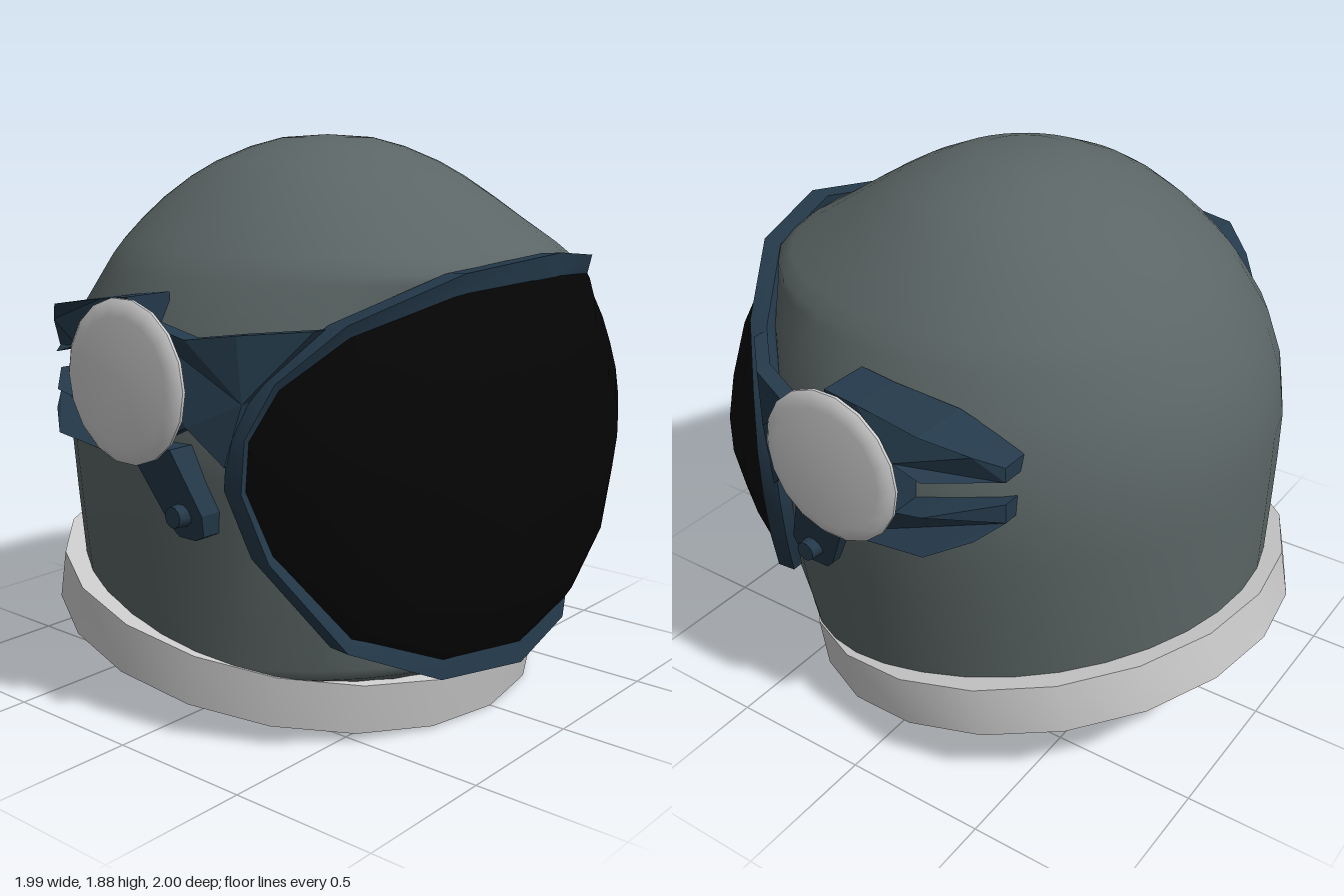
import * as THREE from 'three';
import { mergeVertices, toCreasedNormals } from 'three/addons/utils/BufferGeometryUtils.js';

const mat = (color, side = THREE.FrontSide) => new THREE.MeshStandardMaterial({ color, side });
const { lerp, clamp } = THREE.MathUtils;

// Linear lookup in rows of [key, value...], keys ascending
function lookup(table, k, col = 1) {
  let i = 1;
  while (i < table.length - 1 && table[i][0] < k) i++;
  const a = table[i - 1], b = table[i];
  return lerp(a[col], b[col], clamp((k - a[0]) / (b[0] - a[0]), 0, 1));
}

// Smooth surface through rows of [x, y, z] points
function grid(rows) {
  const n = rows[0].length, index = [];
  for (let i = 0; i < rows.length - 1; i++) {
    for (let j = 0; j < n - 1; j++) {
      const a = i * n + j, b = a + 1, c = b + n, d = a + n;
      index.push(a, b, c, a, c, d);
    }
  }
  const g = new THREE.BufferGeometry();
  g.setAttribute('position', new THREE.Float32BufferAttribute(rows.flat(2), 3));
  g.setIndex(index);
  const merged = mergeVertices(g);
  merged.computeVertexNormals();
  return merged;
}

// Flat-sided plate: outline of [z, y], with inner and outer x given by span(z, y)
function plate(outline, span) {
  const shape = new THREE.Shape(outline.map(([z, y]) => new THREE.Vector2(-z, y)));
  const g = new THREE.ExtrudeGeometry(shape, { depth: 1, bevelEnabled: false, steps: 1 });
  g.rotateY(Math.PI / 2);
  const p = g.attributes.position;
  for (let i = 0; i < p.count; i++) {
    const [inner, outer] = span(p.getZ(i), p.getY(i));
    p.setX(i, lerp(inner, outer, p.getX(i)));
  }
  g.computeVertexNormals();
  return g;
}

// Visor edge, left half, top to bottom
const CY = 0.9;
const EDGE = [
  [0, 1.47, 0.92], [0.35, 1.44, 0.82], [0.64, 1.32, 0.62], [0.79, 1.17, 0.48], [0.855, 1.02, 0.42],
  [0.86, 0.87, 0.41], [0.8, 0.67, 0.46], [0.63, 0.4, 0.62], [0.35, 0.28, 0.76], [0, 0.25, 0.82],
];
const toShell = ([x, y, z]) => [x * 0.955, CY + (y - CY) * 1.03, z - 0.05];
const fullLoop = half => [...half, ...half.slice(0, -1).reverse().map(([x, y, z]) => [-x, y, z])];

// Shell half-width and back depth by height
const PROFILE = [
  [0.05, 0.8, 0.89], [0.3, 0.82, 0.9], [0.55, 0.85, 0.905], [0.8, 0.88, 0.91],
  [1, 0.89, 0.915], [1.15, 0.88, 0.9], [1.33, 0.83, 0.835], [1.5, 0.73, 0.725],
];
// Dome above the opening: height, half-width, back depth, front depth
const DOME = [
  [1.53, 0.705, 0.7, 0.81], [1.6, 0.64, 0.635, 0.69], [1.67, 0.565, 0.56, 0.58], [1.74, 0.48, 0.46, 0.465],
  [1.79, 0.395, 0.375, 0.375], [1.84, 0.27, 0.26, 0.26], [1.87, 0.16, 0.15, 0.15], [1.88, 0, 0, 0],
];

function shellGeometry() {
  const N = 36;
  // Columns in front of the opening's edge collapse onto it
  const arc = (y, sx, zb, zf, start) => Array.from({ length: N + 1 }, (_, j) => {
    const t = clamp(2 * Math.PI * j / N, start, 2 * Math.PI - start), c = Math.cos(t);
    const z = c * (c > 0 ? zf : zb);
    return [sx * Math.sin(t), Math.max(y, 0.27 - 0.2 * z), z]; // lower edge follows the tilted collar
  });
  const rows = [arc(0.05, 0.79, 0.89, 0.64, 0)];
  for (const [x, y, z] of EDGE.map(toShell).reverse()) {
    const sx = lookup(PROFILE, y, 1), zb = lookup(PROFILE, y, 2);
    const start = Math.asin(x / sx);
    rows.push(arc(y, sx, zb, z / Math.cos(start), start));
  }
  for (const [y, sx, zb, zf] of DOME) rows.push(arc(y, sx, zb, zf, 0));
  return grid(rows);
}

// Bulging visor: flatter vertically, rounder towards the sides
function visorGeometry() {
  const loop = fullLoop(EDGE), rings = 6, rows = [];
  for (let i = 0; i <= rings; i++) {
    const s = Math.sin(i / rings * Math.PI / 2);
    rows.push(loop.map(([x, y, z]) => {
      const power = lerp(1, 0.53, Math.abs(x) / 0.86);
      return [x * s, lerp(CY, y, s), lerp(z, 1, Math.max(0, 1 - s * s) ** power)];
    }));
  }
  return grid(rows);
}

function frameGeometry() {
  const offset = (k, dz) => EDGE.map(([x, y, z]) => {
    const l = Math.hypot(x, y - CY);
    return [x + 0.025 * k * x / l, y + 0.065 * k * (y - CY) / l, z + dz];
  });
  const sections = [offset(-0.1, 0.005), offset(1, 0.012), offset(0.9, -0.06), EDGE.map(toShell), offset(-0.1, 0.005)];
  return toCreasedNormals(grid(sections.map(fullLoop)), 0.7);
}

export function createModel() {
  const model = new THREE.Group();
  const grey = mat(0xcccccc), blue = mat(0x24394a);
  const add = (parent, name, geometry, material) => {
    const m = new THREE.Mesh(geometry, material);
    m.name = name;
    parent.add(m);
    return m;
  };

  add(model, 'shell', shellGeometry(), mat(0x5b6565, THREE.DoubleSide));
  add(model, 'visor', visorGeometry(), mat(0x050505, THREE.DoubleSide));
  add(model, 'visorFrame', frameGeometry(), mat(0x24394a, THREE.DoubleSide));

  // Tilted neck ring
  const ring = [[0.61, -0.087], [0.875, -0.087], [0.875, 0.087], [0.61, 0.087], [0.61, -0.087]];
  const collar = add(model, 'collar', toCreasedNormals(
    new THREE.LatheGeometry(ring.map(p => new THREE.Vector2(...p)), 20), 0.7), grey);
  collar.position.set(0, 0.2525, -0.125);
  collar.rotation.x = 0.193;

  // Side fittings, mirrored
  const mountIn = [[-0.49, 0.7], [-0.2, 0.79], [0.04, 0.79]];
  const mountOut = [[-0.49, 0.79], [-0.42, 0.87], [-0.3, 0.96], [0.04, 0.96]];
  const armOut = [[0.04, 0.955], [0.25, 0.935], [0.4, 0.875], [0.56, 0.72]];
  const mount = plate([
    [0.04, 1.42], [-0.08, 1.405], [-0.3, 1.37], [-0.42, 1.3], [-0.485, 1.25], [-0.485, 1.2], [-0.3, 1.22],
    [-0.2, 1.25], [-0.2, 1.08], [-0.3, 1.1], [-0.485, 1.125], [-0.485, 1.06], [-0.42, 1.01], [-0.3, 0.96],
    [-0.05, 0.93], [0.04, 0.92],
  ], z => [lookup(mountIn, z), lookup(mountOut, z)]);
  const arm = plate([
    [0.56, 1.34], [0.4, 1.33], [0.25, 1.31], [0.04, 1.36], [0.04, 0.95], [0.25, 1.05], [0.36, 0.94], [0.41, 1.13],
  ], z => [lookup(armOut, z) - 0.06, lookup(armOut, z)]);
  const leg = plate([
    [0.2, 0.98], [0.28, 0.78], [0.27, 0.71], [0.23, 0.69], [0.16, 0.69], [0.13, 0.72], [0, 0.98],
  ], (z, y) => [lerp(0.8, 0.86, (y - 0.69) / 0.29), lerp(0.885, 0.955, (y - 0.69) / 0.29)]);
  const cap = [[0, 0], [0.24, 0], [0.253, 0.008], [0.253, 0.018], [0.235, 0.032], [0.2, 0.037], [0, 0.038]];
  const disc = toCreasedNormals(new THREE.LatheGeometry(cap.map(p => new THREE.Vector2(...p)), 18), 0.9);

  for (const s of [1, -1]) {
    const side = new THREE.Group();
    side.name = s > 0 ? 'leftFitting' : 'rightFitting';
    side.scale.x = s;
    add(side, 'prongMount', mount, blue);
    add(side, 'visorArm', arm, blue);
    add(side, 'lowerLeg', leg, blue);
    const d = add(side, 'pivotDisc', disc, grey);
    d.position.set(0.957, 1.165, 0.03);
    d.rotation.z = -Math.PI / 2;
    const b = add(side, 'bolt', new THREE.CylinderGeometry(0.033, 0.04, 0.08, 10), blue);
    b.position.set(0.905, 0.77, 0.195);
    b.rotation.z = -Math.PI / 2;
    model.add(side);
  }
  return model;
}
